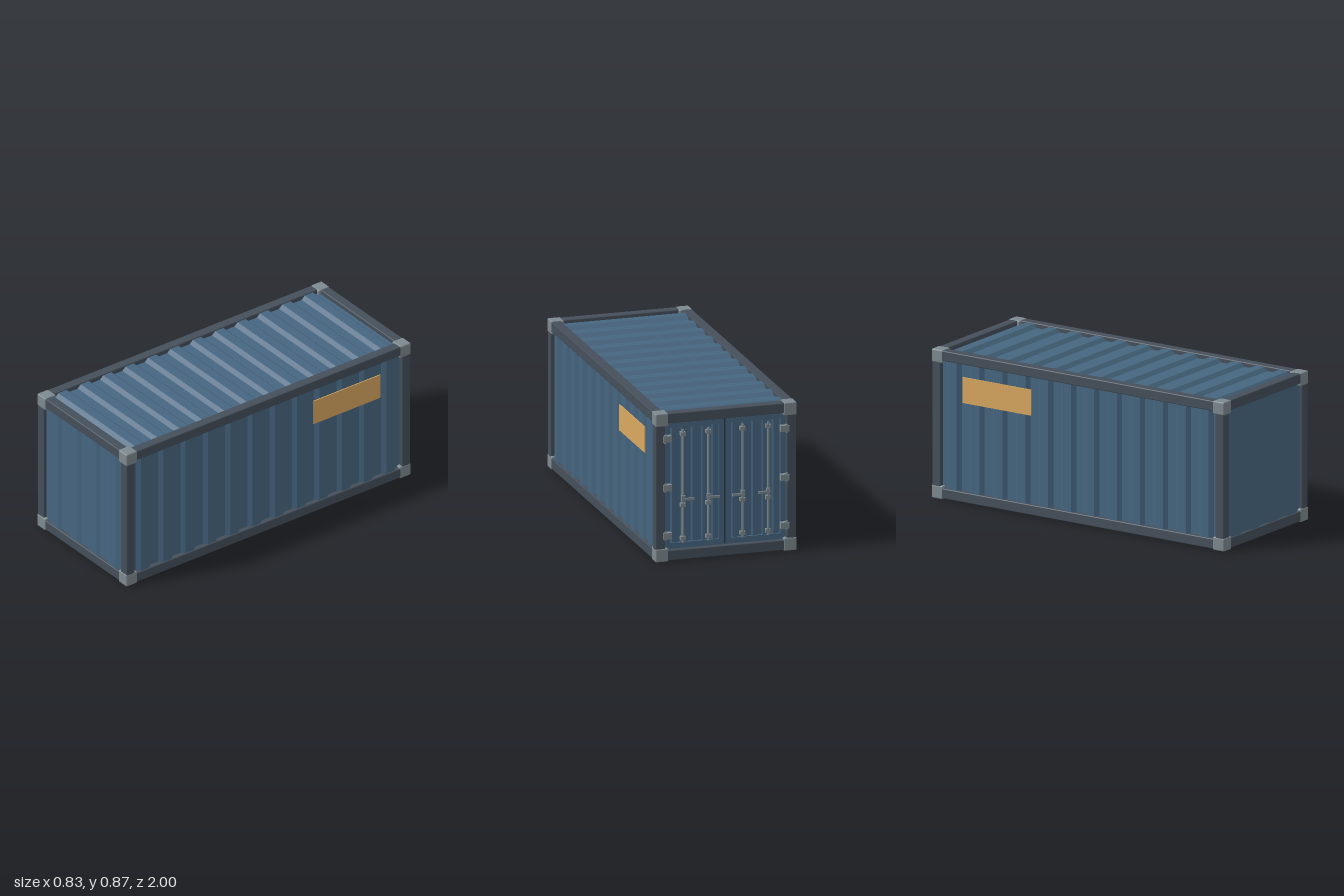
import * as THREE from 'three';
import { RoundedBoxGeometry } from 'three/addons/geometries/RoundedBoxGeometry.js';

const mat = (color) => new THREE.MeshStandardMaterial({ color });

export function createModel() {
  const root = new THREE.Group();
  root.name = 'shippingContainer';
  const blue = mat(0x466680), frame = mat(0x454f5a), steel = mat(0x7d898f);
  const orange = mat(0xd9a760), dark = mat(0x2b3a48);

  const add = (name, geo, material, x = 0, y = 0, z = 0, parent = root) => {
    const m = new THREE.Mesh(geo, material);
    m.name = name;
    m.position.set(x, y, z);
    parent.add(m);
    return m;
  };
  const box = (w, h, d) => new THREE.BoxGeometry(w, h, d);
  const rbox = (w, h, d, r) => new RoundedBoxGeometry(w, h, d, 2, r);

  // Sheet with trapezoid ribs: ribs repeat along x, outward is +y, ribs run along z.
  // The rib tops lie at y = 0.
  const ribbed = (length, count, height, depth, back = 0.012) => {
    const s = new THREE.Shape();
    const pitch = length / count, x0 = -length / 2;
    s.moveTo(x0, -depth - back);
    s.lineTo(-x0, -depth - back);
    s.lineTo(-x0, -depth);
    for (let i = count - 1; i >= 0; i--) {
      for (const [t, y] of [[0.82, -depth], [0.68, 0], [0.32, 0], [0.18, -depth]]) {
        s.lineTo(x0 + (i + t) * pitch, y);
      }
    }
    s.lineTo(x0, -depth);
    s.closePath();
    return new THREE.ExtrudeGeometry(s, { depth: height, bevelEnabled: false })
      .translate(0, 0, -height / 2);
  };
  const wall = (...a) => ribbed(...a).rotateX(Math.PI / 2);

  // Overall frame positions
  const Y0 = 0.035, Y1 = 0.834, XP = 0.385, ZF = 0.968, ZB = -0.963, T = 0.057;
  const midY = (Y0 + Y1) / 2, midZ = (ZF + ZB) / 2;

  // Corner castings and posts
  for (const sx of [-1, 1]) {
    for (const [z, cz] of [[ZF, 0.9615], [ZB, -0.9565]]) {
      add('cornerPost', rbox(T, 0.8, T, 0.006), frame, sx * XP, midY, z);
      for (const y of [0.0385, 0.8275]) {
        add('cornerCasting', rbox(0.077, 0.077, 0.077, 0.008), steel, sx * 0.3765, y, cz);
      }
    }
  }

  // Long and cross rails
  for (const y of [Y0, Y1]) {
    for (const sx of [-1, 1]) add('sideRail', rbox(T, 0.059, 1.9, 0.006), frame, sx * XP, y, midZ);
    for (const z of [ZF, ZB]) add('endRail', rbox(0.76, 0.059, T, 0.006), frame, 0, y, z);
  }

  // Ribbed walls and roof
  add('frontWall', wall(0.712, 4, 0.745, 0.012), blue, 0, midY, 0.99);
  for (const sx of [-1, 1]) {
    add('sideWall', wall(1.876, 12, 0.745, 0.02).rotateY(sx * Math.PI / 2), blue, sx * 0.406, midY, midZ);
    add('sidePlate', box(0.006, 0.15, 0.466), orange, sx * 0.409, 0.657, -0.55);
  }
  add('roof', ribbed(1.884, 12, 0.72, 0.02).rotateY(Math.PI / 2), blue, 0, 0.857, midZ);
  add('floor', box(0.72, 0.03, 1.88), dark, 0, 0.035, midZ);

  // Rear doors, mirrored about the middle seam
  for (const sx of [-1, 1]) {
    const door = new THREE.Group();
    door.name = sx > 0 ? 'leftDoor' : 'rightDoor';
    root.add(door);
    const put = (name, geo, m, x, y, z) => add(name, geo, m, sx * x, y, z, door);

    // Leaf border around a shallow ribbed panel
    const leaf = new THREE.Shape();
    leaf.moveTo(0.004, 0.066).lineTo(0.355, 0.066).lineTo(0.355, 0.804).lineTo(0.004, 0.804).closePath();
    const hole = new THREE.Path();
    hole.moveTo(0.034, 0.1).lineTo(0.034, 0.77).lineTo(0.322, 0.77).lineTo(0.322, 0.1).closePath();
    leaf.holes.push(hole);
    const border = new THREE.ExtrudeGeometry(leaf, { depth: 0.026, bevelEnabled: false });
    if (sx < 0) border.translate(-0.359, 0, 0);
    put('doorBorder', border, blue, 0, 0, -0.97);
    put('doorPanel', wall(0.3, 5, 0.69, 0.006).rotateY(Math.PI), blue, 0.178, midY, -0.963);

    // Locking rods with guides, cams and handles
    for (const x of [0.1, 0.25]) {
      put('lockingRod', new THREE.CylinderGeometry(0.007, 0.007, 0.66, 12), steel, x, 0.43, -0.981);
      for (const y of [0.125, 0.32, 0.735]) {
        put('rodGuide', box(0.028, 0.022, 0.026), steel, x, y, -0.977);
      }
      put('handleHub', box(0.02, 0.032, 0.022), steel, x, 0.36, -0.986);
      put('rodHandle', box(0.07, 0.013, 0.01), steel, x - 0.028, 0.355, -0.994);
    }

    // Hinges on the post edge
    for (const y of [0.15, 0.43, 0.715]) {
      put('hinge', box(0.05, 0.036, 0.032), steel, 0.345, y, -0.984);
      put('hingePin', new THREE.CylinderGeometry(0.008, 0.008, 0.05, 10), steel, 0.357, y, -0.99);
    }
  }
  add('doorSeal', box(0.012, 0.735, 0.016), dark, 0, midY, -0.958);

  return root;
}
